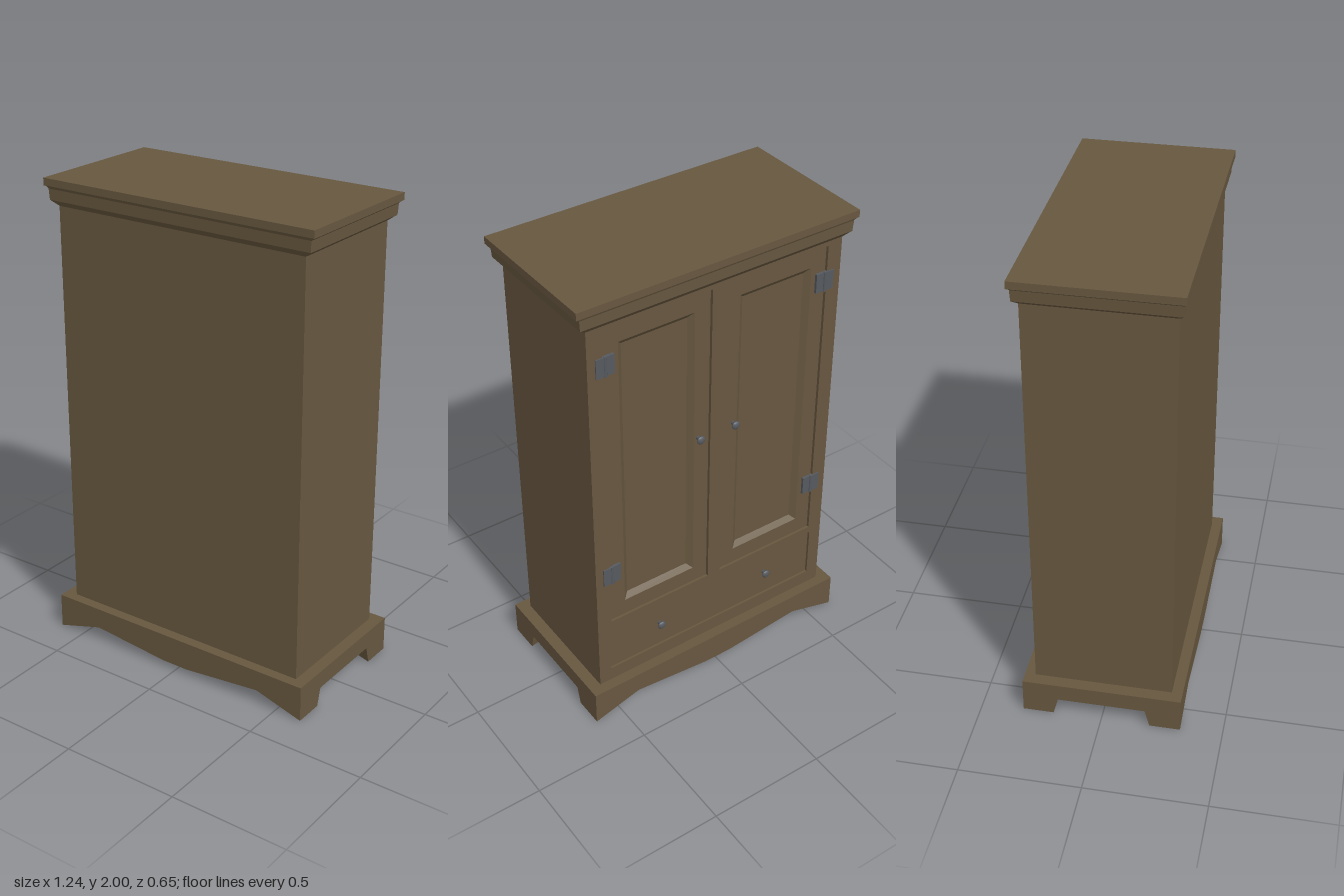
import * as THREE from 'three';

const wood = new THREE.MeshStandardMaterial({ color: 0x67573f });
wood.name = 'brownWood';
const metal = new THREE.MeshStandardMaterial({ color: 0x565a60 });
metal.name = 'darkMetal';

function add(parent, name, geometry, material, x = 0, y = 0, z = 0) {
  const mesh = new THREE.Mesh(geometry, material);
  mesh.name = name;
  mesh.position.set(x, y, z);
  parent.add(mesh);
  return mesh;
}

// Flat-sided loft through rectangles [halfWidth, halfHeight, z], capped at both ends
function rectLoft(rings) {
  const pos = [];
  const corner = ([w, h, z], i) => [[-w, -h, z], [w, -h, z], [w, h, z], [-w, h, z]][i % 4];
  const quad = (a, b, c, d) => pos.push(...a, ...b, ...c, ...a, ...c, ...d);
  for (let r = 0; r < rings.length - 1; r++) {
    for (let i = 0; i < 4; i++) {
      quad(corner(rings[r], i), corner(rings[r], i + 1), corner(rings[r + 1], i + 1), corner(rings[r + 1], i));
    }
  }
  const first = rings[0], last = rings[rings.length - 1];
  quad(...[0, 3, 2, 1].map(i => corner(first, i)));
  quad(...[0, 1, 2, 3].map(i => corner(last, i)));
  const g = new THREE.BufferGeometry();
  g.setAttribute('position', new THREE.Float32BufferAttribute(pos, 3));
  g.computeVertexNormals();
  return g;
}

function rectPath(path, x0, y0, x1, y1) {
  path.moveTo(x0, y0);
  path.lineTo(x1, y0);
  path.lineTo(x1, y1);
  path.lineTo(x0, y1);
  path.closePath();
  return path;
}

// Plinth: footed side profile swept across x, its underside following a wavy apron
function plinthGeometry() {
  const profile = [[-0.327, 0], [-0.2, 0], [-0.18, 0.08], [0.18, 0.08], [0.2, 0], [0.327, 0], [0.327, 0.155], [-0.327, 0.155]];
  const xs = [-0.62, -0.41, -0.06, 0.06, 0.41, 0.62];
  const lift = [0.004, 0.065, 0.03, 0.03, 0.065, 0.004];
  const shape = new THREE.Shape(profile.map(p => new THREE.Vector2(...p)));
  const g = new THREE.ExtrudeGeometry(shape, { depth: 5, steps: 5, bevelEnabled: false });
  const p = g.attributes.position;
  for (let i = 0; i < p.count; i++) {
    const k = Math.round(p.getZ(i));
    p.setZ(i, xs[k]);
    if (p.getY(i) < 0.001) p.setY(i, lift[k]);
  }
  g.rotateY(Math.PI / 2);
  g.computeVertexNormals();
  return g;
}

export function createModel() {
  const model = new THREE.Group();
  model.name = 'cabinet';

  add(model, 'plinth', plinthGeometry(), wood);
  add(model, 'carcass', new THREE.BoxGeometry(1.138, 1.75, 0.536), wood, 0, 1.025, 0.015);

  // Stepped crown moulding with the top board
  const crown = rectLoft([
    [0.569, 0.283, 1.89], [0.6, 0.302, 1.913], [0.603, 0.304, 1.958],
    [0.612, 0.309, 1.968], [0.62, 0.313, 1.97], [0.62, 0.313, 2],
  ]).rotateX(-Math.PI / 2);
  add(model, 'crown', crown, wood);

  // The door side looks towards -z
  const doorSide = new THREE.Group();
  doorSide.name = 'doorSide';
  doorSide.rotation.y = Math.PI;
  model.add(doorSide);

  // Face frame with openings for two doors and a drawer
  const frame = rectPath(new THREE.Shape(), -0.569, 0.15, 0.569, 1.9);
  frame.holes.push(
    rectPath(new THREE.Path(), -0.505, 0.48, -0.03, 1.87),
    rectPath(new THREE.Path(), 0.03, 0.48, 0.505, 1.87),
    rectPath(new THREE.Path(), -0.512, 0.218, 0.512, 0.448),
  );
  add(doorSide, 'faceFrame', new THREE.ExtrudeGeometry(frame, { depth: 0.03, bevelEnabled: false }), wood, 0, 0, 0.253);

  const doorGeometry = rectLoft([
    [0.234, 0.692, 0], [0.234, 0.692, 0.022], [0.166, 0.62, 0.022], [0.143, 0.597, 0.004],
  ]);
  const drawerGeometry = new THREE.BoxGeometry(1.018, 0.224, 0.024);
  const knobGeometry = new THREE.LatheGeometry(
    [[0.009, 0], [0.008, 0.018], [0.018, 0.022], [0.018, 0.027], [0.011, 0.032], [0, 0.033]].map(p => new THREE.Vector2(...p)), 12,
  ).rotateX(Math.PI / 2);
  const leafGeometry = new THREE.BoxGeometry(0.036, 0.082, 0.016);
  const barrelGeometry = new THREE.CylinderGeometry(0.007, 0.007, 0.086, 10);

  add(doorSide, 'drawer', drawerGeometry, wood, 0, 0.333, 0.264);
  for (const s of [-1, 1]) {
    add(doorSide, 'door', doorGeometry, wood, s * 0.2675, 1.175, 0.253);
    add(doorSide, 'doorKnob', knobGeometry, metal, s * 0.083, 1.22, 0.272);
    add(doorSide, 'drawerKnob', knobGeometry, metal, s * 0.27, 0.34, 0.272);
    // Two hinges on the outer edge of each door
    for (const y of [0.73, 1.72]) {
      const hinge = new THREE.Group();
      hinge.name = 'hinge';
      hinge.position.set(s * 0.495, y, 0.28);
      add(hinge, 'outerLeaf', leafGeometry, metal, s * 0.022, 0, 0);
      add(hinge, 'innerLeaf', leafGeometry, metal, -s * 0.022, 0, -0.002);
      add(hinge, 'barrel', barrelGeometry, metal, 0, 0, 0.005);
      doorSide.add(hinge);
    }
  }
  return model;
}
